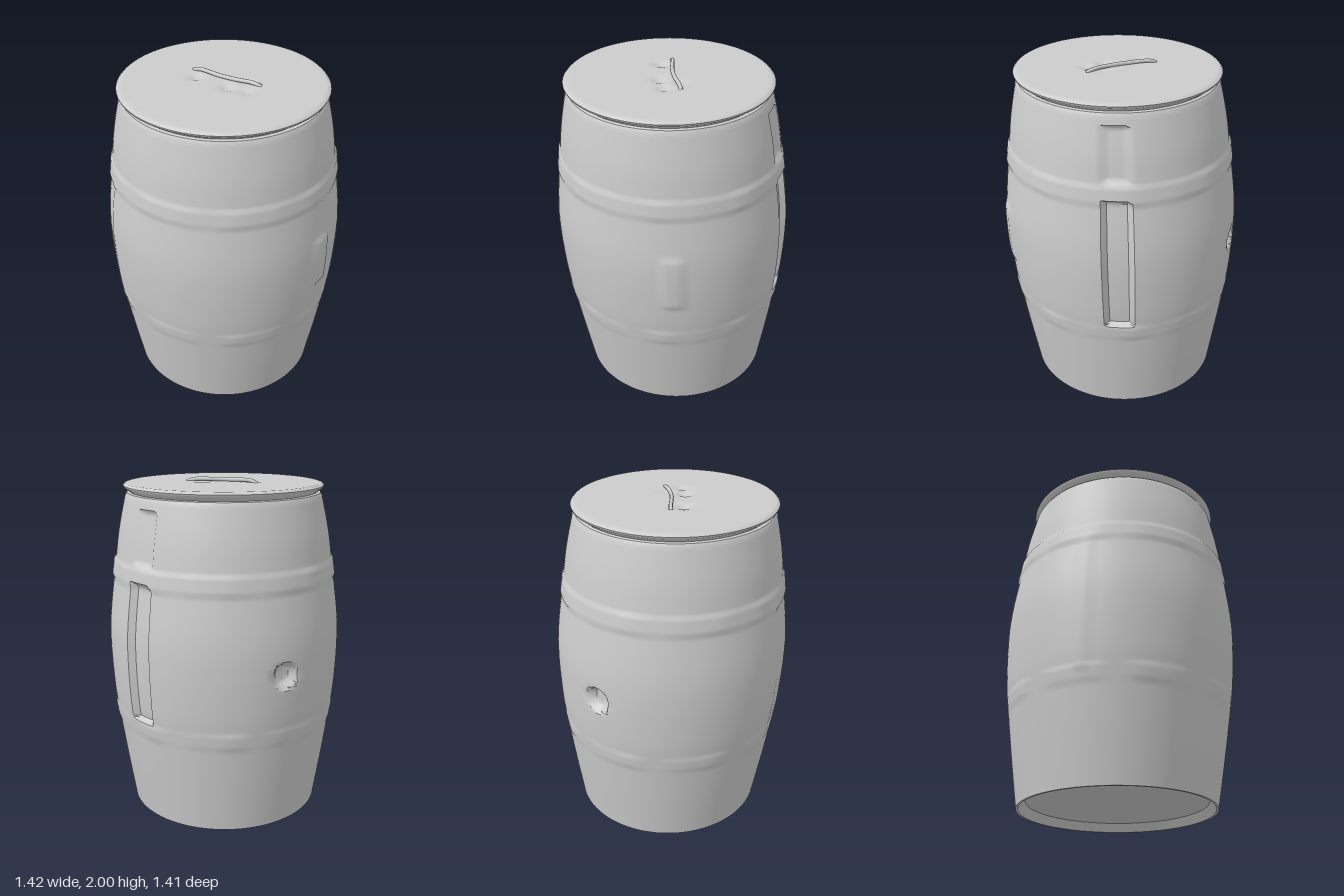
import * as THREE from 'three';
import { mergeVertices, toCreasedNormals } from 'three/addons/utils/BufferGeometryUtils.js';

const V2 = (x, y) => new THREE.Vector2(x, y);
const grey = () => new THREE.MeshStandardMaterial({ color: 0xcccccc });
const step = THREE.MathUtils.smoothstep;

// 1 inside [a, b], fading to 0 over a soft edge e
const band = (v, a, b, e) => step(v, a - e, a) * (1 - step(v, b, b + e));
const angleTo = (a, b) => Math.atan2(Math.sin(a - b), Math.cos(a - b));

// The worn barrel leans a little towards +x and +z as it rises
function lean(p) {
  const t = p.y / 1.92;
  p.x += -0.015 + 0.03 * t;
  p.z += -0.015 + 0.04 * t;
}

// Lathe a profile, move each vertex by a rule, then make smooth normals
function lathe(name, points, segments, rule, crease) {
  let geo = new THREE.LatheGeometry(points, segments);
  geo.deleteAttribute('uv');
  geo.deleteAttribute('normal');
  geo = mergeVertices(geo);
  const pos = geo.attributes.position, p = new THREE.Vector3();
  for (let i = 0; i < pos.count; i++) {
    p.fromBufferAttribute(pos, i);
    if (rule) rule(p);
    lean(p);
    pos.setXYZ(i, p.x, p.y, p.z);
  }
  const mesh = new THREE.Mesh(toCreasedNormals(geo, crease), grey());
  mesh.name = name;
  return mesh;
}

// Hoops, ledges, sunk stave, bung dent and raised staves as radial offsets
function wear(p) {
  const { y } = p, a = Math.atan2(p.x, p.z), r = Math.hypot(p.x, p.z);
  const wobble = 0.5 + 0.3 * Math.sin(a * 9) + 0.2 * Math.sin(a * 17 + 1);
  let d = 0.008 * wobble * band(y, 0.57, 0.62, 0.04);           // lower hoop
  d += (0.006 + 0.006 * wobble) * band(y, 1.44, 1.53, 0.012);   // upper hoop
  const groove = band(angleTo(a, 2.875) * 0.7, -0.065, 0.065, 0.015);
  d -= 0.035 * groove * band(y, 0.66, 1.44, 0.02);              // sunk stave
  d -= 0.02 * groove * band(y, 1.57, 1.84, 0.02);
  const bung = Math.hypot(angleTo(a, -2.12) * 0.7, y - 0.97);
  d -= 0.05 * (1 - step(bung, 0.045, 0.09));                    // bung dent
  d += 0.012 * band(angleTo(a, 1.64) * 0.7, -0.05, 0.05, 0.02) * band(y, 0.87, 1.17, 0.04);
  d += 0.008 * band(angleTo(a, -0.44) * 0.7, -0.015, 0.015, 0.04) * band(y, 0.65, 1.42, 0.06);
  p.x *= (r + d) / r;
  p.z *= (r + d) / r;
}

// Dimples for fingers on both sides of the handle
const dimples = [[-0.15, 0.06, 0.02], [0.07, 0.05, 0.02], [0.18, 0.02, 0.015], [0.1, -0.07, 0.01]];
function dimple(p) {
  if (p.y < 1.965) return;
  for (const [x, z, depth] of dimples)
    p.y -= depth * Math.exp(-((p.x - x) ** 2 + (p.z - z) ** 2) / 0.0016);
}

export function createModel() {
  const barrel = new THREE.Group();
  barrel.name = 'barrel';

  // Bulging body
  const side = new THREE.SplineCurve([
    V2(0.585, 0), V2(0.632, 0.3), V2(0.672, 0.58), V2(0.693, 0.75), V2(0.705, 1),
    V2(0.698, 1.2), V2(0.658, 1.5), V2(0.63, 1.7), V2(0.587, 1.9)]);
  const sidePoints = side.getPoints(120);
  sidePoints.push(V2(0.575, 1.92), V2(0.55, 1.925));
  barrel.add(lathe('body', sidePoints, 144, wear, 0.7));

  // Recessed underside with its rim
  const base = [V2(0, 0.05), V2(0.534, 0.05), V2(0.572, 0), V2(0.585, 0)];
  barrel.add(lathe('base', base, 144, null, 0.5));

  // Lid with a flared lip and a nearly flat top
  const lidPoints = [V2(0.54, 1.91), V2(0.565, 1.93), V2(0.592, 1.95), V2(0.596, 1.962), V2(0.585, 1.972)];
  for (let i = 0; i <= 28; i++) lidPoints.push(V2(0.57 * (1 - i / 28), 1.975 + 0.003 * i / 28));
  barrel.add(lathe('lid', lidPoints, 96, dimple, 0.7));

  // Thin, slightly bent handle lying on the lid
  const path = new THREE.CatmullRomCurve3([
    [-0.21, 1.972, 0.025], [-0.17, 1.987, 0.02], [-0.02, 1.988, 0.01],
    [0.08, 1.988, -0.01], [0.17, 1.986, -0.04], [0.22, 1.972, -0.055],
  ].map(c => new THREE.Vector3(...c)));
  const handle = new THREE.Mesh(new THREE.TubeGeometry(path, 32, 0.012, 8), grey());
  handle.name = 'handle';
  barrel.add(handle);

  return barrel;
}
